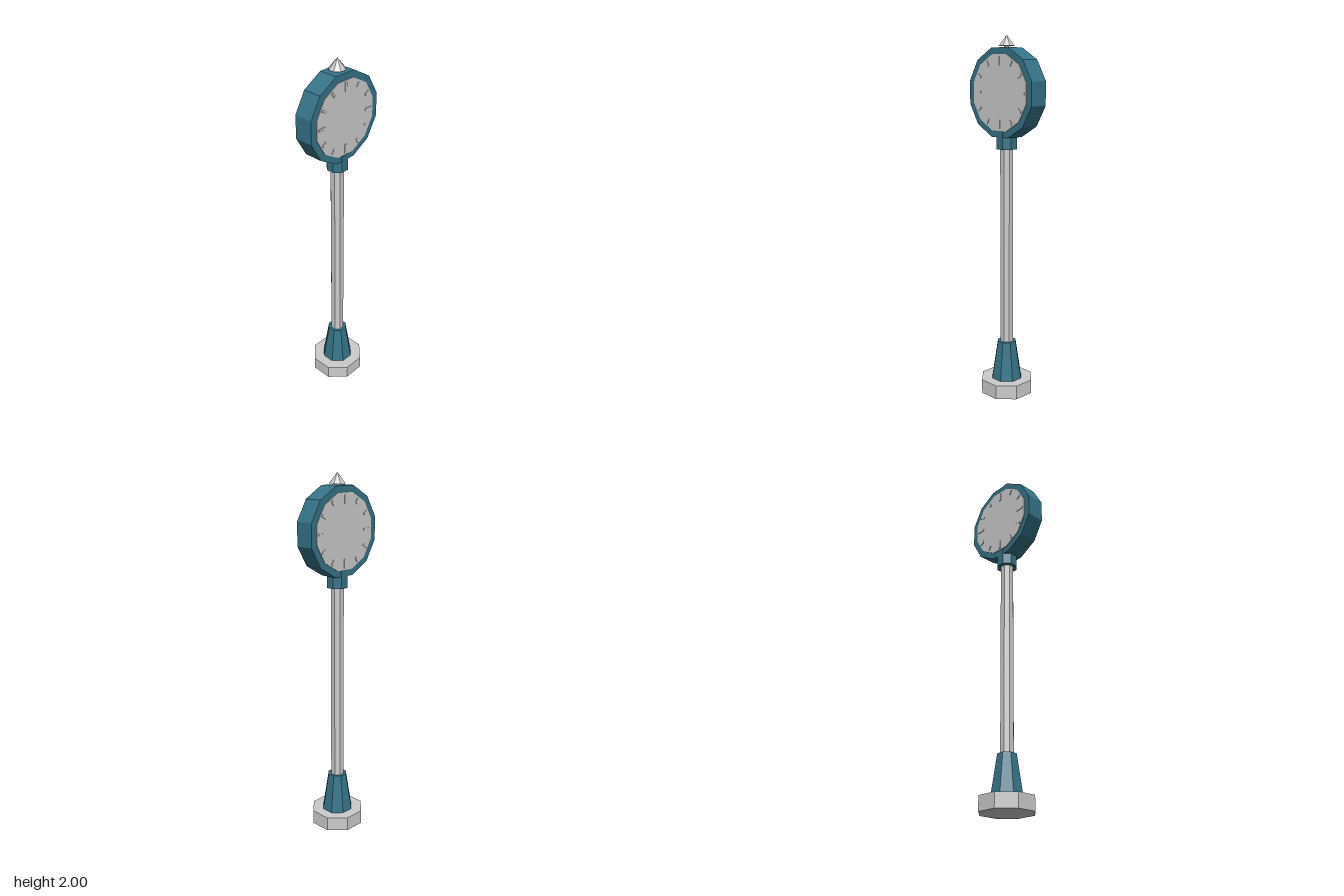
import * as THREE from 'three';

const grey = new THREE.MeshStandardMaterial({ color: 0xcccccc, flatShading: true });
const teal = new THREE.MeshStandardMaterial({ color: 0x357387, flatShading: true });

// Regular prism or frustum with a flat side to the front; radii are measured to the flats.
function prism(topFlat, bottomFlat, y0, y1, sides = 8) {
  const k = 1 / Math.cos(Math.PI / sides);
  const g = new THREE.CylinderGeometry(topFlat * k, bottomFlat * k, y1 - y0, sides);
  g.rotateY(Math.PI / sides);
  g.translate(0, (y0 + y1) / 2, 0);
  return g;
}

export function createModel() {
  const model = new THREE.Group();
  const add = (name, geometry, material, parent = model) => {
    const mesh = new THREE.Mesh(geometry, material);
    mesh.name = name;
    parent.add(mesh);
    return mesh;
  };

  // Post, from the ground up
  add('base', prism(0.14, 0.14, 0, 0.08), grey);
  add('skirt', prism(0.05, 0.082, 0.08, 0.3), teal);
  add('pole', prism(0.035, 0.035, 0.3, 1.4), grey);
  add('collar', prism(0.055, 0.055, 1.4, 1.495), teal);

  // Clock head: a twelve-sided drum lying along z
  const head = new THREE.Group();
  head.name = 'clockHead';
  head.position.y = 1.7;
  model.add(head);
  add('drum', prism(0.235, 0.235, -0.053, 0.053, 12).rotateX(Math.PI / 2), teal, head);

  // One dial with hour marks on each side
  for (const side of ['front', 'back']) {
    const dial = new THREE.Group();
    dial.name = side + 'Dial';
    dial.rotation.y = side === 'front' ? 0 : Math.PI;
    head.add(dial);
    add('dialFace', prism(0.2, 0.2, 0.05, 0.057, 12).rotateX(Math.PI / 2), grey, dial);
    for (let i = 0; i < 12; i++) {
      const length = i % 3 === 0 ? 0.048 : 0.028;
      const mark = new THREE.BoxGeometry(0.012, length, 0.006);
      mark.translate(0, 0.19 - length / 2, 0.058);
      mark.rotateZ((-i * Math.PI) / 6);
      add('hourMark', mark, grey, dial);
    }
  }

  // Pointed finial on a short neck
  add('finialNeck', prism(0.015, 0.015, 1.93, 1.945), grey);
  add('finial', prism(0, 0.042, 1.943, 2), grey);
  return model;
}
